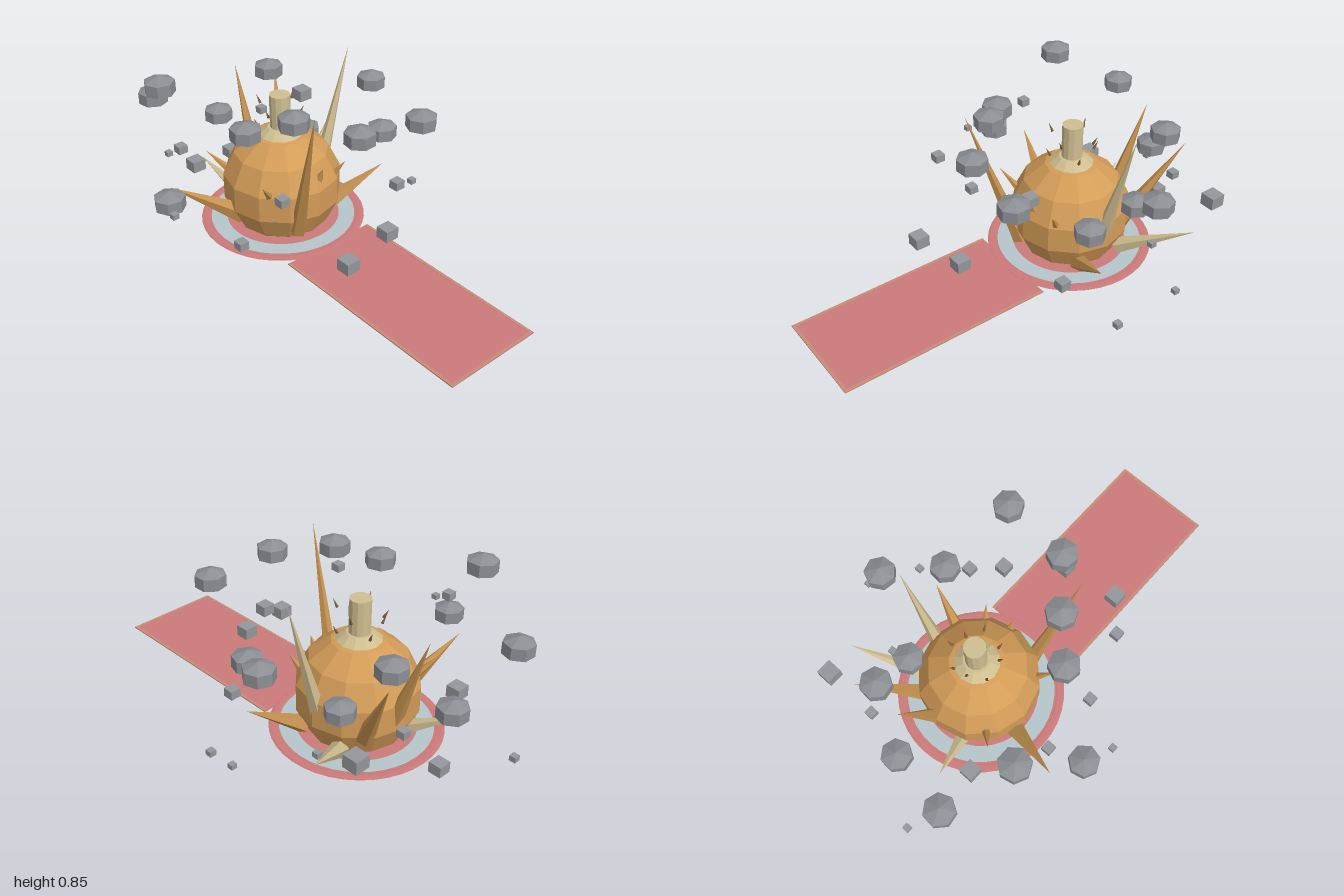
import * as THREE from 'three';

const CX = -0.024, CZ = -0.312; // vessel axis

function mat(name, color, side = THREE.FrontSide) {
  const m = new THREE.MeshStandardMaterial({ color, side });
  m.name = name;
  m.flatShading = true;
  return m;
}

export function createModel() {
  const root = new THREE.Group();
  root.name = 'spikedVessel';
  const amber = mat('amber', 0xd39c58);
  const tan = mat('tan', 0xcfbe90);
  const brown = mat('brown', 0xc5924f);
  const darkBrown = mat('dark brown', 0x7d6238);
  const pink = mat('pink', 0xca7a79);
  const edgePink = mat('edge pink', 0xc88a78);
  const paleBlue = mat('pale blue', 0xb5c5ca, THREE.DoubleSide);
  const grey = mat('rock grey', 0x8b8e93);
  const cubeGrey = mat('cube grey', 0x93969a);

  const add = (name, geo, material, x, y, z, parent = root) => {
    const m = new THREE.Mesh(geo, material);
    m.name = name;
    m.position.set(x, y, z);
    parent.add(m);
    return m;
  };
  const group = (name) => {
    const g = new THREE.Group();
    g.name = name;
    root.add(g);
    return g;
  };

  // Vessel: faceted globe, sloping shoulder and neck
  add('globe', new THREE.SphereGeometry(0.275, 12, 7), amber, CX, 0.28, CZ);
  add('shoulder', new THREE.CylinderGeometry(0.058, 0.135, 0.062, 12), tan, CX, 0.534, CZ);
  add('neck', new THREE.CylinderGeometry(0.047, 0.047, 0.17, 12), tan, CX, 0.637, CZ);

  // Thin round base with an inlaid ring and raised rim
  add('baseDisc', new THREE.CylinderGeometry(0.375, 0.375, 0.004, 40), pink, CX, 0.1, CZ);
  const rim = add('baseRim', new THREE.TorusGeometry(0.358, 0.022, 6, 40), pink, CX, 0.1, CZ);
  rim.rotation.x = -Math.PI / 2;
  rim.scale.z = 0.16;
  const inlay = add('baseInlay', new THREE.RingGeometry(0.262, 0.335, 40), paleBlue, CX, 0.1045, CZ);
  inlay.rotation.x = -Math.PI / 2;

  // Long path running forward, with raised borders
  const z0 = 0.02, z1 = 1, len = z1 - z0;
  add('path', new THREE.BoxGeometry(0.45, 0.003, len), pink, CX, 0.1, (z0 + z1) / 2);
  for (const s of [-1, 1])
    add('pathBorder', new THREE.BoxGeometry(0.014, 0.005, len), edgePink, CX + s * 0.226, 0.1, (z0 + z1) / 2);
  add('pathEnd', new THREE.BoxGeometry(0.466, 0.005, 0.014), edgePink, CX, 0.1, z1 - 0.007);

  // A cone reaching from a base point to a tip
  const up = new THREE.Vector3(0, 1, 0);
  const spike = (name, a, b, r, material, parent) => {
    const from = new THREE.Vector3(...a), to = new THREE.Vector3(...b);
    const dir = to.clone().sub(from);
    const mid = from.clone().add(to).multiplyScalar(0.5);
    const m = add(name, new THREE.ConeGeometry(r, dir.length(), 5), material, mid.x, mid.y, mid.z, parent);
    m.quaternion.setFromUnitVectors(up, dir.normalize());
  };

  // Large spikes: base, tip, radius, colour
  const spikes = group('spikes');
  [
    [[-0.23, 0.17, -0.35], [-0.54, 0.39, -0.437], 0.05, brown],
    [[-0.11, 0.15, -0.09], [-0.193, 0.847, 0.137], 0.038, brown],
    [[0.18, 0.18, -0.312], [0.372, 0.835, -0.31], 0.042, tan],
    [[0.12, 0.2, -0.49], [0.26, 0.615, -0.725], 0.042, brown],
    [[0.19, 0.14, -0.42], [0.497, 0.327, -0.587], 0.04, tan],
    [[-0.1, 0.12, -0.47], [-0.18, 0.272, -0.735], 0.045, tan],
    [[0.18, 0.14, -0.2], [0.425, 0.285, -0.115], 0.042, brown],
    [[-0.005, 0.2, -0.52], [0.02, 0.71, -0.71], 0.042, brown],
  ].forEach(([a, b, r, m]) => spike('spike', a, b, r, m, spikes));

  // Short thorns on the globe
  const thorns = group('thorns');
  [
    [[-0.21, 0.34, -0.16], [-0.285, 0.437, -0.105]],
    [[0.115, 0.34, -0.12], [0.15, 0.425, -0.07]],
    [[0.004, 0.385, -0.08], [0.006, 0.445, -0.055]],
    [[-0.21, 0.34, -0.47], [-0.285, 0.437, -0.535]],
  ].forEach(([a, b]) => spike('thorn', a, b, 0.02, brown, thorns));

  // Tiny splinters floating around the neck
  const splinters = group('splinters');
  for (let i = 0; i < 8; i++) {
    const t = (i + 0.5) * Math.PI / 4, c = Math.cos(t), s = Math.sin(t);
    const y = i % 2 ? 0.655 : 0.58;
    spike('splinter', [CX + c * 0.1, y, CZ + s * 0.1], [CX + c * 0.12, y + 0.04, CZ + s * 0.12], 0.007, darkBrown, splinters);
  }

  // Floating faceted boulders
  const boulders = group('boulders');
  const boulderGeo = new THREE.SphereGeometry(0.078, 7, 3);
  boulderGeo.scale(1, 0.69, 1);
  [
    [-0.466, 0.805, -0.567], [-0.337, 0.717, -0.133], [-0.34, 0.603, -0.862], [-0.197, 0.776, 0.008],
    [-0.025, 0.735, 0.215], [0.184, 0.647, -0.67], [0.295, 0.707, 0.243], [0.52, 0.614, -0.312],
    [0.379, 0.493, -0.08], [-0.616, 0.413, -0.312], [0.242, 0.38, -0.467], [-0.026, 0.425, -0.806],
  ].forEach((p, i) => {
    add('boulder', boulderGeo, grey, ...p, boulders).rotation.y = i * 0.3;
  });

  // Floating cubes: position and size
  const cubes = group('cubes');
  [
    [-0.22, 0.193, -0.985, 0.03], [0.44, 0.407, -0.74, 0.07], [-0.277, 0.315, -0.64, 0.065],
    [0.035, 0.19, -0.812, 0.06], [0.187, 0.4, -0.745, 0.04], [0.364, 0.235, -0.467, 0.03],
    [0.667, 0.258, -0.312, 0.026], [0.587, 0.14, -0.075, 0.031], [0.366, 0.27, 0.045, 0.05],
    [0.159, 0.59, 0.06, 0.054], [0.034, 0.307, 0.332, 0.064], [-0.222, 0.29, 0.377, 0.066],
    [-0.381, 0.552, 0.16, 0.044], [-0.443, 0.253, -0.053, 0.045], [-0.668, 0.427, -0.192, 0.028],
    [-0.49, 0.587, -0.397, 0.042],
  ].forEach(([x, y, z, s]) => add('cube', new THREE.BoxGeometry(s, s * 0.82, s), cubeGrey, x, y, z, cubes));

  return root;
}
